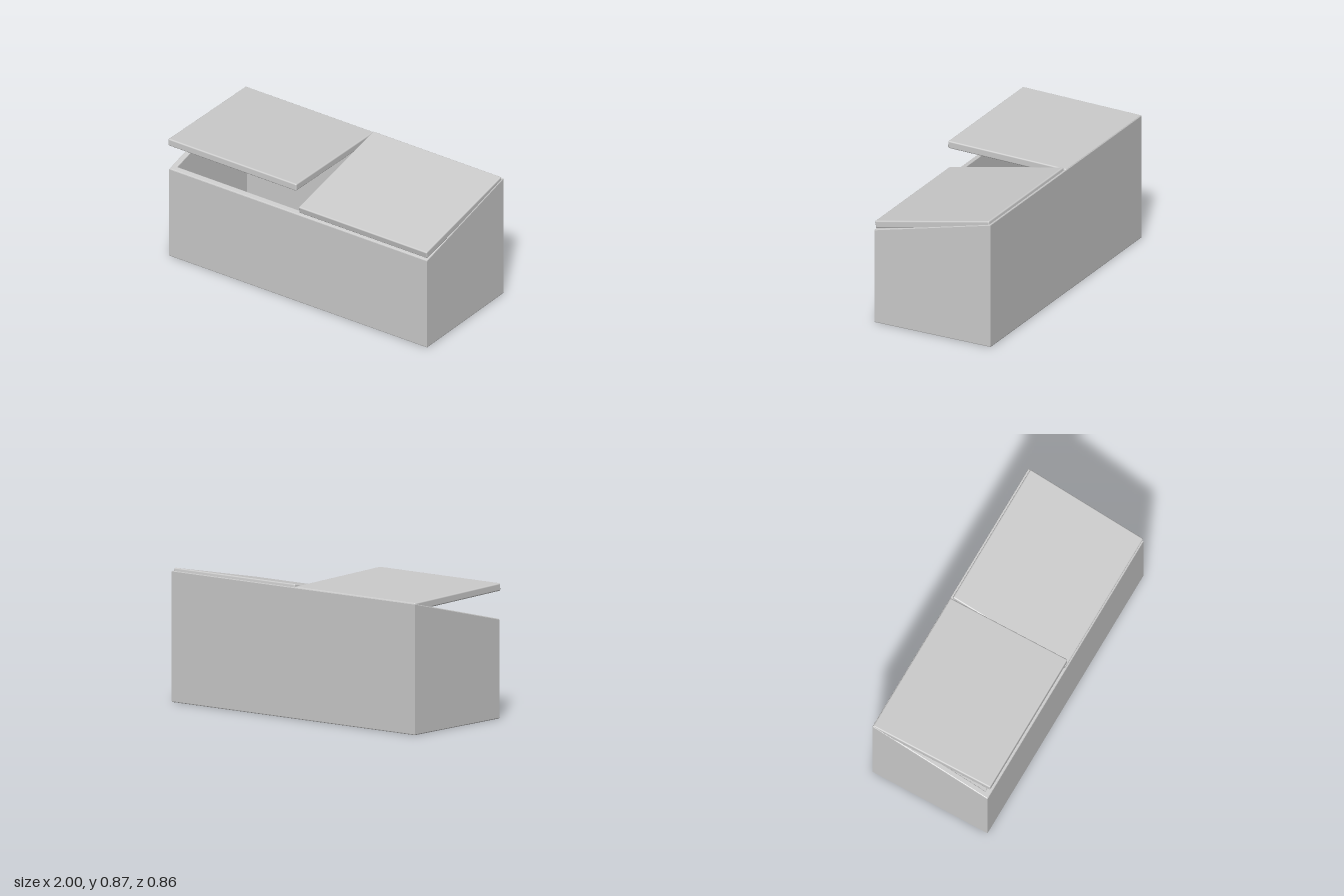
import * as THREE from 'three';
import { RoundedBoxGeometry } from 'three/addons/geometries/RoundedBoxGeometry.js';

const material = new THREE.MeshStandardMaterial({ color: 0xcccccc });
const WALL = 0.038, BEVEL = 0.006;
const FRONT = 0.412, BACK = -0.427, FRONT_H = 0.64, BACK_H = 0.845;

function add(parent, name, geometry) {
  const mesh = new THREE.Mesh(geometry, material);
  mesh.name = name;
  parent.add(mesh);
  return mesh;
}

// Rectangle on the ground plan, shrunk by an inset
function plan(Type, inset) {
  const x = 1 - inset, f = -FRONT + inset, b = -BACK - inset;
  return new Type([[-x, f], [x, f], [x, b], [-x, b]].map(([u, v]) => new THREE.Vector2(u, v)));
}

// Hollow wall ring whose rim slopes from the back down to the front
function wallsGeometry() {
  const shape = plan(THREE.Shape, 0);
  shape.holes.push(plan(THREE.Path, WALL));
  const geo = new THREE.ExtrudeGeometry(shape, {
    depth: FRONT_H - 2 * BEVEL, bevelThickness: BEVEL, bevelSize: BEVEL,
    bevelOffset: -BEVEL, bevelSegments: 2,
  });
  geo.rotateX(-Math.PI / 2).translate(0, BEVEL, 0);
  const p = geo.attributes.position;
  for (let i = 0; i < p.count; i++) {
    if (p.getY(i) < FRONT_H / 2) continue;
    const t = (FRONT - p.getZ(i)) / (FRONT - BACK);
    p.setY(i, p.getY(i) + t * (BACK_H - FRONT_H));
  }
  geo.computeVertexNormals();
  return geo;
}

// Lid panel placed by the front and back ends of its upper face, given as [z, y]
function addLid(parent, name, x, front, back) {
  const dz = front[0] - back[0], dy = front[1] - back[1];
  const length = Math.hypot(dz, dy), thick = 0.05;
  const geo = new RoundedBoxGeometry(0.994, thick, length, 3, 0.009);
  geo.translate(0, -thick / 2, 0);
  const lid = add(parent, name, geo);
  lid.position.set(x, (front[1] + back[1]) / 2, (front[0] + back[0]) / 2);
  lid.rotation.x = -Math.atan2(dy, dz);
}

export function createModel() {
  const model = new THREE.Group();
  model.name = 'storageBin';

  // Bin body
  add(model, 'walls', wallsGeometry());
  const inset = 2 * (WALL - BEVEL - 0.002);
  const floor = add(model, 'floor', new THREE.BoxGeometry(2 - inset, WALL, FRONT - BACK - inset));
  floor.position.set(0, WALL / 2, (FRONT + BACK) / 2);

  // Closed lid on the left half, raised lid on the right half
  addLid(model, 'closedLid', 0.499, [0.413, 0.697], [-0.41, 0.863]);
  addLid(model, 'raisedLid', -0.5, [0.428, 0.868], [-0.425, 0.848]);
  return model;
}
